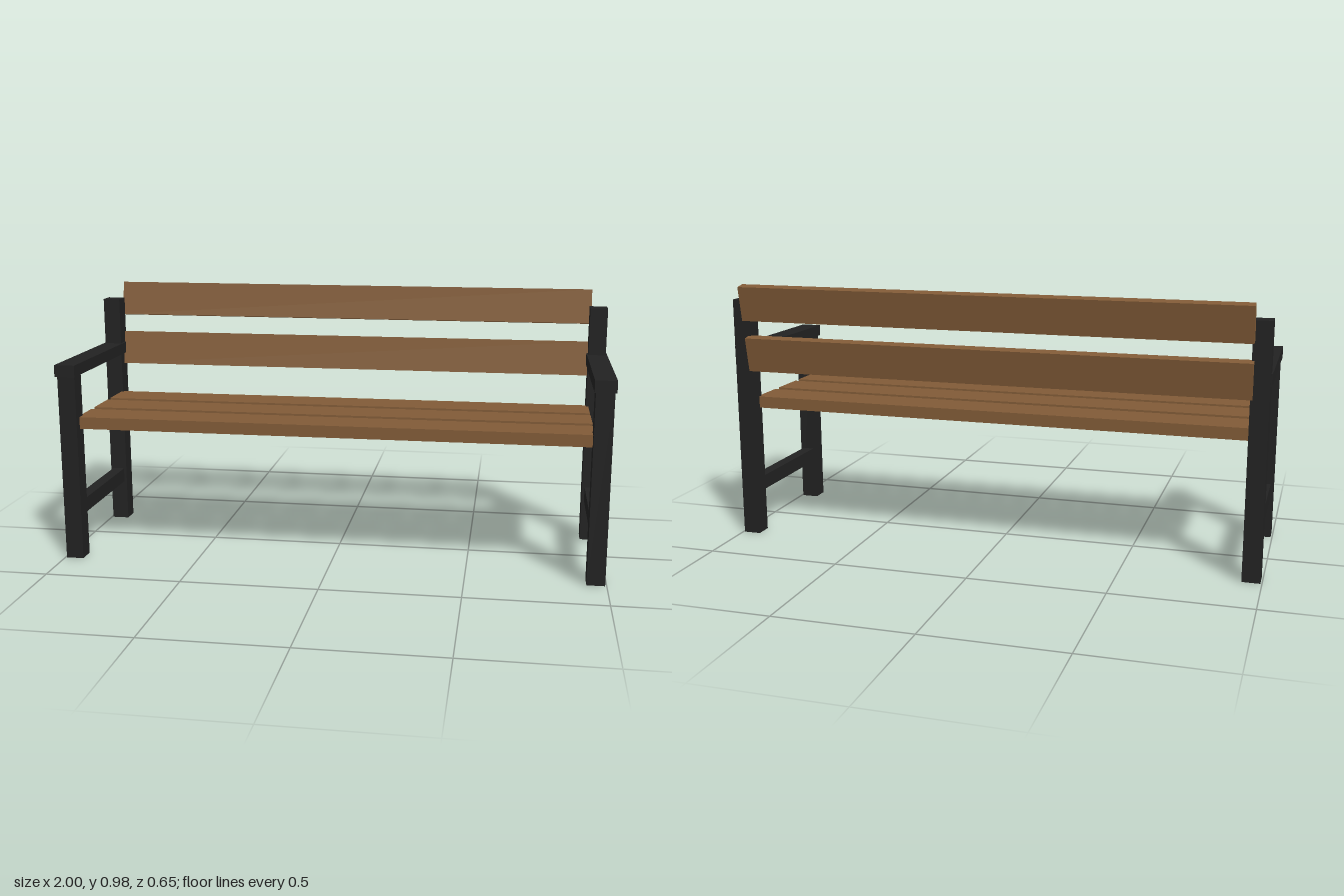
import * as THREE from 'three';

export function createModel() {
  const bench = new THREE.Group();
  bench.name = 'bench';

  const wood = new THREE.MeshStandardMaterial({ color: 0x815b37 });
  wood.name = 'brown wood';
  const metal = new THREE.MeshStandardMaterial({ color: 0x222222 });
  metal.name = 'black frame';

  const addBox = (parent, name, material, size, position) => {
    const mesh = new THREE.Mesh(new THREE.BoxGeometry(...size), material);
    mesh.name = name;
    mesh.position.set(...position);
    parent.add(mesh);
    return mesh;
  };

  // End frames: legs, low stretcher and armrest, mirrored on both sides
  for (const side of [1, -1]) {
    const frame = new THREE.Group();
    frame.name = side > 0 ? 'leftFrame' : 'rightFrame';
    const x = side * 0.962;
    addBox(frame, 'frontLeg', metal, [0.065, 0.695, 0.065], [x, 0.3475, 0.283]);
    addBox(frame, 'backLeg', metal, [0.065, 0.917, 0.065], [x, 0.4585, -0.231]);
    addBox(frame, 'stretcher', metal, [0.045, 0.055, 0.45], [x, 0.1855, 0.026]);
    addBox(frame, 'armrest', metal, [0.076, 0.043, 0.582], [x, 0.7165, 0.036]);
    bench.add(frame);
  }

  // Three flat seat slats
  const length = 1.876;
  for (const z of [0.2125, 0.035, -0.1425]) {
    addBox(bench, 'seatSlat', wood, [length, 0.044, 0.145], [0, 0.516, z]);
  }

  // Two leaning backrest slats
  for (const [y, z] of [[0.714, -0.259], [0.911, -0.295]]) {
    const slat = addBox(bench, 'backSlat', wood, [length, 0.131, 0.038], [0, y, z]);
    slat.rotation.x = -0.18;
  }

  return bench;
}
